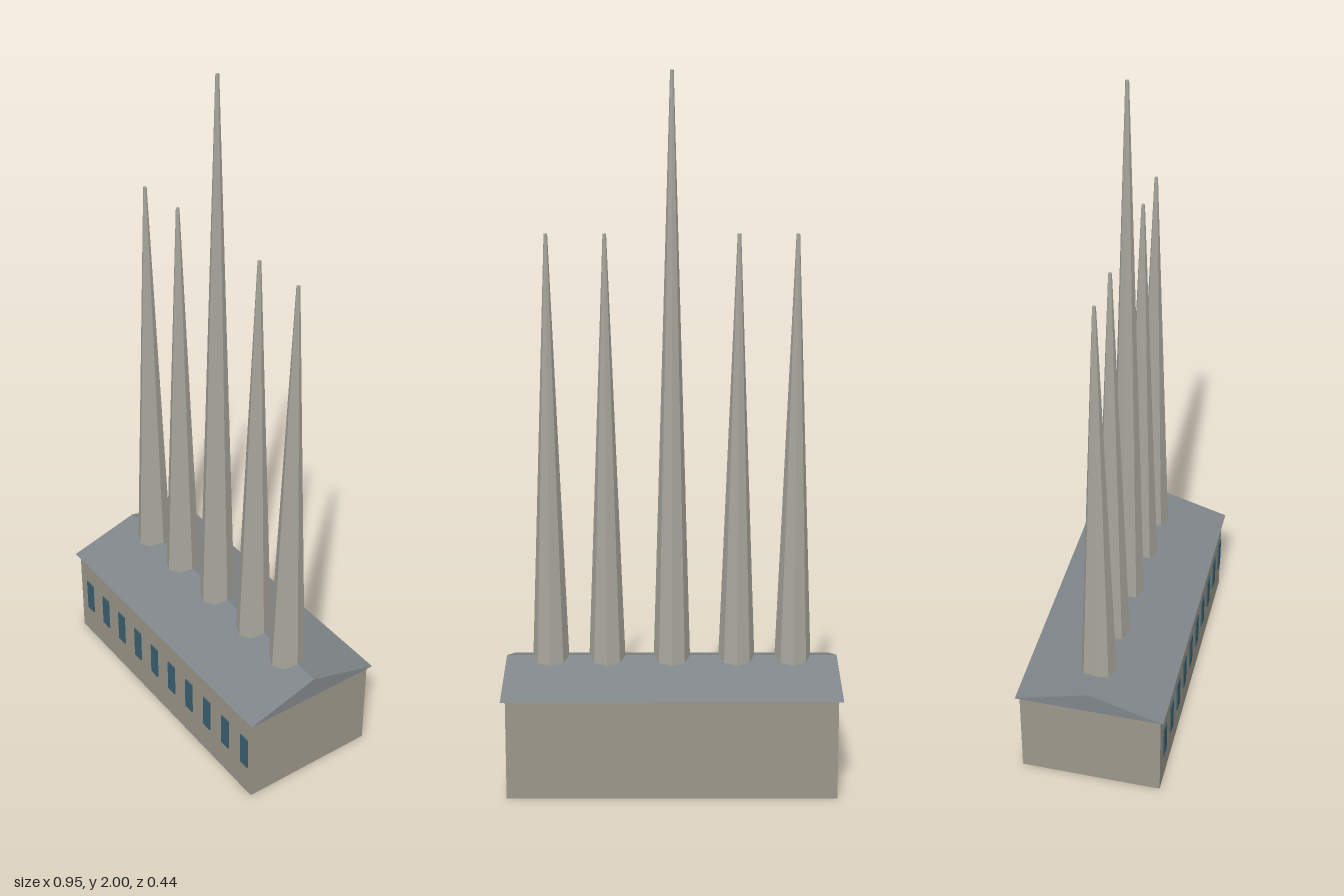
import * as THREE from 'three';

const paint = (color) => new THREE.MeshStandardMaterial({ color, flatShading: true });

export function createModel() {
  const model = new THREE.Group();
  const wallMat = paint(0x9c978b);
  const roofMat = paint(0x80868a);
  const spireMat = paint(0xa8a69c);
  const windowMat = paint(0x3a5f70);

  const add = (name, geometry, material, x, y, z, parent = model) => {
    const mesh = new THREE.Mesh(geometry, material);
    mesh.name = name;
    mesh.position.set(x, y, z);
    parent.add(mesh);
    return mesh;
  };

  // Long rectangular hall
  const wallHeight = 0.285;
  add('hall', new THREE.BoxGeometry(0.926, wallHeight, 0.416), wallMat, 0, wallHeight / 2, 0);

  // Shallow gabled roof with a slight overhang, ridge along x
  const roofLength = 0.952;
  const gable = new THREE.Shape([
    new THREE.Vector2(-0.218, 0),
    new THREE.Vector2(0.218, 0),
    new THREE.Vector2(0, 0.065),
  ]);
  const roofGeometry = new THREE.ExtrudeGeometry(gable, { depth: roofLength, bevelEnabled: false });
  roofGeometry.translate(0, 0, -roofLength / 2).rotateY(Math.PI / 2);
  add('roof', roofGeometry, roofMat, 0, wallHeight, 0);

  // Row of tapering octagonal spires along the ridge, the middle one tallest
  const spires = new THREE.Group();
  spires.name = 'spires';
  model.add(spires);
  const spireBase = 0.32;
  for (const [x, top] of [[-0.348, 1.56], [-0.186, 1.56], [0, 2], [0.186, 1.56], [0.348, 1.56]]) {
    const height = top - spireBase;
    add('spire', new THREE.CylinderGeometry(0.005, 0.053, height, 8), spireMat,
      x, spireBase + height / 2, 0, spires);
  }

  // Ten tall windows on the front wall
  const windows = new THREE.Group();
  windows.name = 'windows';
  model.add(windows);
  const pane = new THREE.BoxGeometry(0.034, 0.106, 0.006);
  for (let i = 0; i < 10; i++) {
    add('window', pane, windowMat, -0.407 + i * 0.093, 0.152, 0.209, windows);
  }

  return model;
}
